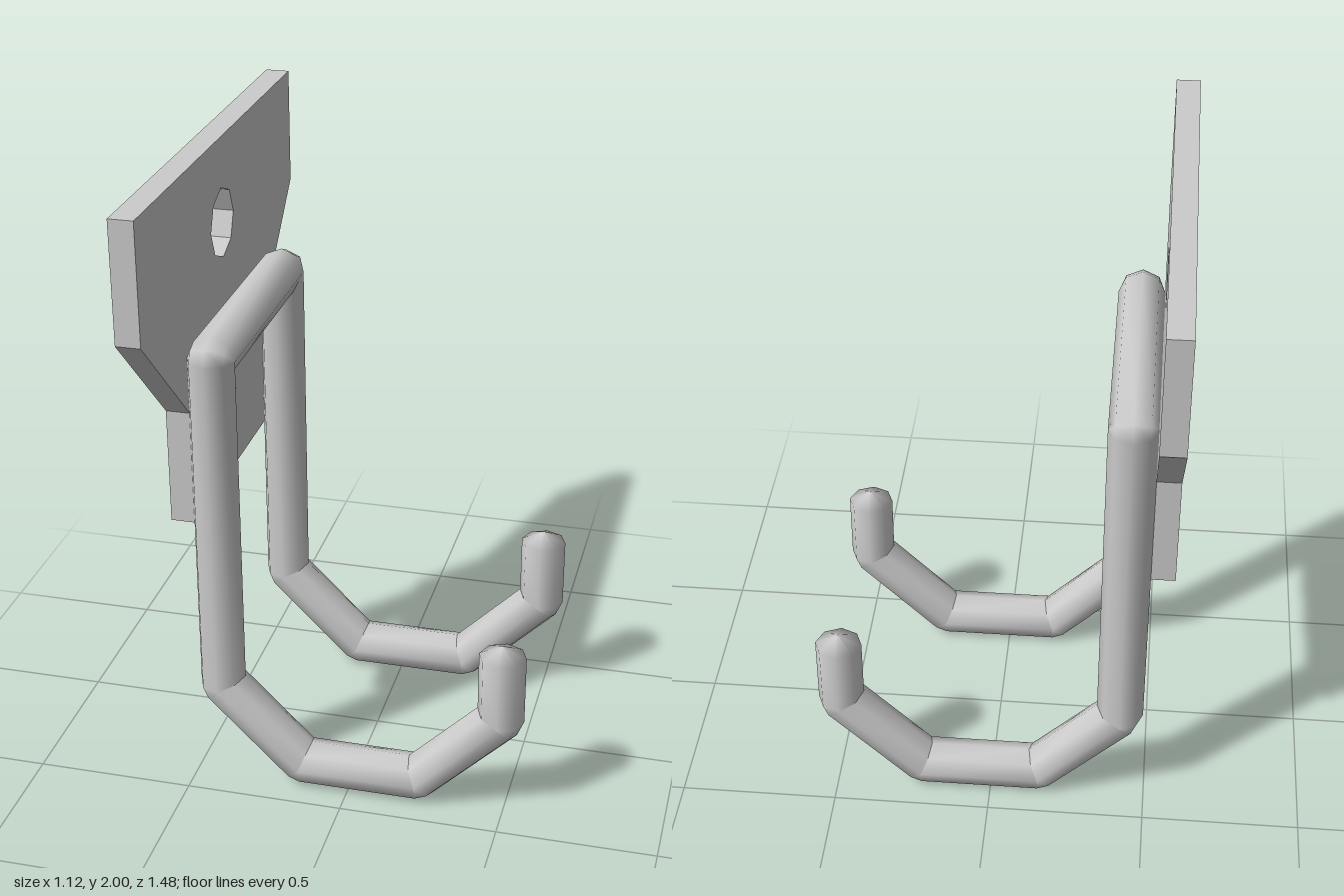
import * as THREE from 'three';

const SIDES = 8;
const ROD_R = 0.0735;

// Regular polygon outline used for the screw holes
function hole(y, r) {
  const pts = [];
  for (let i = 0; i < SIDES; i++) {
    const a = -i / SIDES * Math.PI * 2;
    pts.push(new THREE.Vector2(Math.cos(a) * r, y + Math.sin(a) * r));
  }
  return new THREE.Path(pts);
}

// Sweeps a polygon along straight runs: sharp inside the bends, stepped outside, shallow pointed ends
function bentRod(path, startSide, tip) {
  const dirs = path.slice(1).map((p, i) => p.clone().sub(path[i]).normalize());
  const u = startSide.clone();
  const v = dirs[0].clone().cross(u);
  let offsets = Array.from({ length: SIDES }, (_, k) => {
    const a = k / SIDES * Math.PI * 2;
    return u.clone().multiplyScalar(Math.cos(a) * ROD_R).addScaledVector(v, Math.sin(a) * ROD_R);
  });
  const rings = [];
  const ringAt = (p, offs) => rings.push(offs.map(o => p.clone().add(o)));
  const pointAt = p => rings.push(offsets.map(() => p.clone()));

  pointAt(path[0].clone().addScaledVector(dirs[0], -tip));
  ringAt(path[0], offsets);
  for (let i = 1; i < path.length - 1; i++) {
    const a = dirs[i - 1], b = dirs[i];
    const axis = a.clone().cross(b).normalize();
    const angle = a.angleTo(b);
    const steps = Math.max(1, Math.round(angle / (Math.PI / 4)));
    const mitre = a.clone().add(b);
    for (let s = 0; s <= steps; s++) {
      ringAt(path[i], offsets.map(o => o.dot(b) > 1e-6
        ? o.clone().addScaledVector(a, -o.dot(mitre) / a.dot(mitre))
        : o.clone().applyAxisAngle(axis, angle * s / steps)));
    }
    offsets = offsets.map(o => o.clone().applyAxisAngle(axis, angle));
  }
  const end = path[path.length - 1];
  ringAt(end, offsets);
  pointAt(end.clone().addScaledVector(dirs[dirs.length - 1], tip));

  const index = [];
  for (let r = 0; r < rings.length - 1; r++) {
    for (let k = 0; k < SIDES; k++) {
      const k1 = (k + 1) % SIDES;
      const a = r * SIDES + k, a1 = r * SIDES + k1;
      index.push(a, a1, a + SIDES, a1, a1 + SIDES, a + SIDES);
    }
  }
  const geo = new THREE.BufferGeometry().setFromPoints(rings.flat());
  geo.setIndex(index);
  geo.computeVertexNormals();
  return geo;
}

export function createModel() {
  const group = new THREE.Group();
  const grey = new THREE.MeshStandardMaterial({ color: 0xcccccc });

  // Wall plate: wide top tapering to a narrow tongue, two screw holes
  const half = [[0.37, 0.895], [0.37, 1.265], [0.74, 1.63], [0.74, 2]];
  const outline = [...half, ...half.map(([z, y]) => [-z, y]).reverse()];
  const shape = new THREE.Shape(outline.map(([z, y]) => new THREE.Vector2(z, y)));
  shape.holes.push(hole(1.735, 0.11), hole(1.145, 0.075));
  const plateGeo = new THREE.ExtrudeGeometry(shape, { depth: 0.075, bevelEnabled: false });
  plateGeo.rotateY(Math.PI / 2).translate(-0.56, 0, 0);
  const plate = new THREE.Mesh(plateGeo, grey);
  plate.name = 'wallPlate';
  group.add(plate);

  // Double hook: one rod, mirrored across z and joined by the top bar
  const hook = [[0.482, 0.56], [0.482, 0.333], [0.223, 0.075], [-0.154, 0.075], [-0.412, 0.333], [-0.412, 1.447]];
  const side = z => hook.map(([x, y]) => new THREE.Vector3(x, y, z));
  const path = [...side(0.37), ...side(-0.37).reverse()];
  const rod = new THREE.Mesh(bentRod(path, new THREE.Vector3(1, 0, 0), 0.035), grey);
  rod.name = 'doubleHook';
  group.add(rod);

  return group;
}
